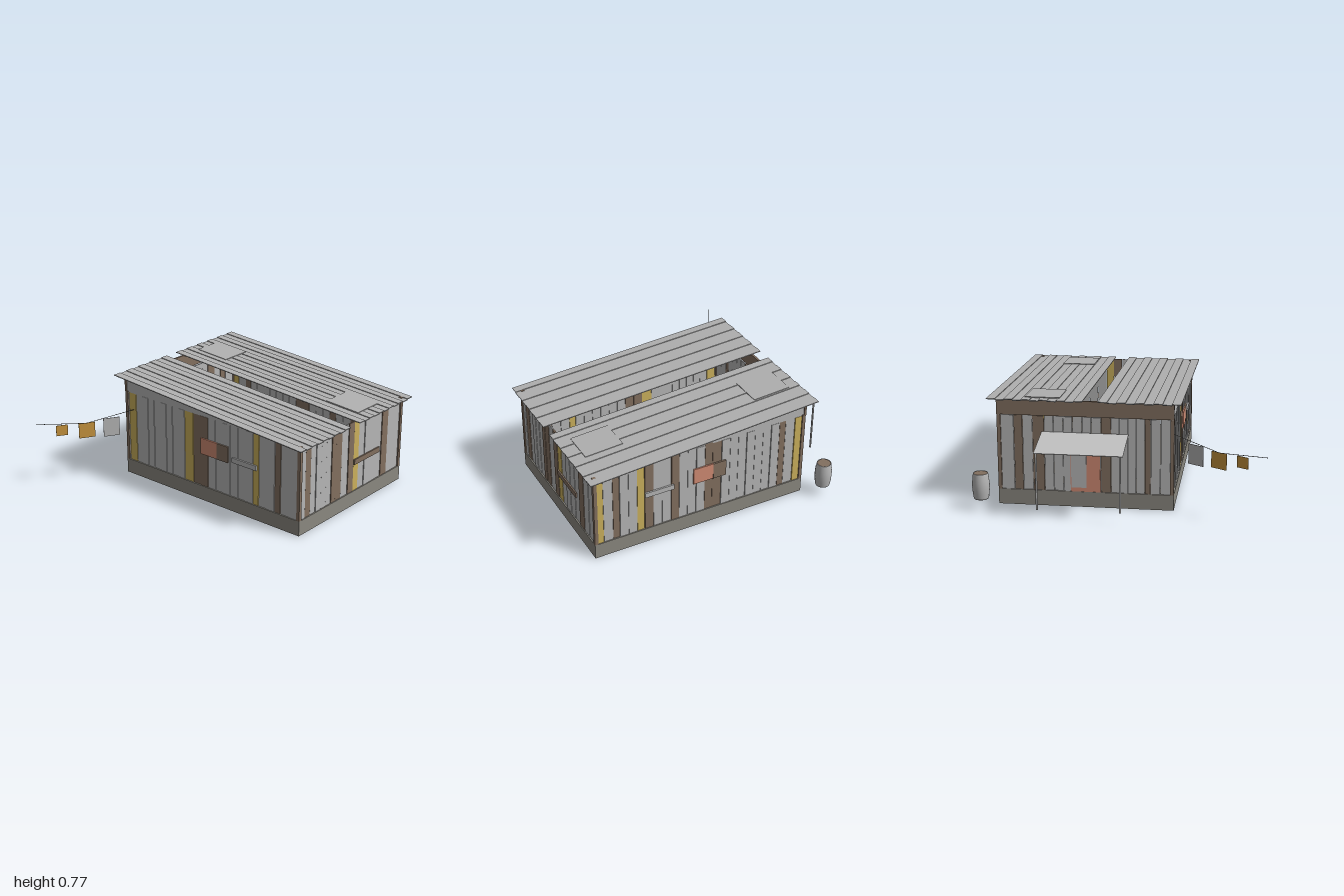
import * as THREE from 'three';

const mat = (name, color) => {
  const m = new THREE.MeshStandardMaterial({ color });
  m.name = name;
  return m;
};

export function createModel() {
  const root = new THREE.Group();
  root.name = 'shack';
  const M = {
    grey: mat('metal grey', 0xb6b6b6),
    roof: mat('roof grey', 0xb0b0b0),
    pale: mat('pale awning', 0xc0c0c0),
    brown: mat('timber brown', 0x826f5f),
    yellow: mat('faded yellow', 0xcbb05c),
    stone: mat('concrete', 0x8b8880),
    salmon: mat('salmon', 0xd08b73),
    amber: mat('amber cloth', 0xca963f),
    cord: mat('dark cord', 0x4a4a48),
  };
  M.cord.side = THREE.DoubleSide;

  const add = (parent, name, geo, material, x = 0, y = 0, z = 0) => {
    const m = new THREE.Mesh(geo, material);
    m.name = name;
    m.position.set(x, y, z);
    parent.add(m);
    return m;
  };
  // box given by its limits
  const box = (parent, name, material, x0, x1, y0, y1, z0, z1) =>
    add(parent, name, new THREE.BoxGeometry(x1 - x0, y1 - y0, z1 - z0), material,
      (x0 + x1) / 2, (y0 + y1) / 2, (z0 + z1) / 2);

  // footprint
  const X0 = -0.37, X1 = 0.845, Z0 = -0.68, Z1 = 0.94, FLOOR = 0.11, EAVE = 0.643;
  const roofY = z => 0.643 + (0.98 - z) * 0.0722;

  box(root, 'foundation', M.stone, X0, X1, 0, FLOOR, Z0, Z1);

  // wall of upright planks along local x, outer face at local z = 0;
  // coloured planks are listed, grey sheets fill the spaces
  function wall(name, from, to, coloured) {
    const g = new THREE.Group();
    g.name = name;
    let i = 0;
    const plank = (a, b, material, top = EAVE) => {
      const back = 0.006 + (i++ % 3) * 0.002;
      box(g, 'plank', material, a + 0.0015, b - 0.0015, FLOOR, top, -0.018, -back);
    };
    const fill = (a, b) => {
      if (b - a < 0.004) return;
      const n = Math.max(1, Math.round((b - a) / 0.064));
      for (let k = 0; k < n; k++) plank(a + (b - a) * k / n, a + (b - a) * (k + 1) / n, M.grey);
    };
    let at = from;
    for (const [a, b, c, top] of coloured) {
      fill(at, a);
      plank(a, b, M[c], top);
      at = b;
    }
    fill(at, to);
    root.add(g);
    return g;
  }

  // front wall
  const front = wall('frontWall', X0 + 0.025, X1 - 0.025, [
    [-0.30, -0.24, 'brown'], [-0.005, 0.045, 'brown'], [0.045, 0.112, 'brown'],
    [0.19, 0.255, 'brown'], [0.255, 0.315, 'yellow'], [0.595, 0.67, 'brown']]);
  front.position.z = Z1;
  box(front, 'frontRail', M.brown, 0.255, 0.56, 0.315, 0.355, -0.006, 0.004);

  // right wall on +x, local x = -z
  const right = wall('leftWall', -Z1 + 0.025, -Z0 - 0.025, [
    [-0.915, -0.87, 'yellow'], [-0.80, -0.75, 'brown'], [-0.62, -0.565, 'yellow'],
    [-0.565, -0.50, 'brown'], [-0.365, -0.305, 'brown'], [-0.11, -0.05, 'brown', 0.653],
    [-0.05, 0.02, 'brown', 0.653], [0.475, 0.525, 'brown'], [0.60, 0.655, 'yellow']]);
  right.rotation.y = Math.PI / 2;
  right.position.x = X1;
  box(right, 'hatchShutter', M.salmon, -0.20, -0.05, 0.36, 0.48, -0.006, 0.004);
  box(right, 'hatchPanel', M.brown, -0.05, 0.05, 0.36, 0.48, -0.006, 0.006);
  box(right, 'sideRail', M.grey, -0.565, -0.35, 0.375, 0.412, -0.006, 0.006);

  // opposite wall on -x, local x = z
  const left = wall('rightWall', Z0 + 0.025, Z1 - 0.025, [
    [-0.65, -0.58, 'yellow'], [-0.10, -0.02, 'yellow'], [-0.02, 0.05, 'brown'],
    [0.05, 0.12, 'brown'], [0.53, 0.58, 'yellow'], [0.72, 0.77, 'brown']]);
  left.rotation.y = -Math.PI / 2;
  left.position.x = X0;
  box(left, 'hatchShutter', M.salmon, 0.06, 0.21, 0.36, 0.48, -0.006, 0.004);
  box(left, 'hatchPanel', M.brown, 0.21, 0.31, 0.36, 0.48, -0.006, 0.006);
  box(left, 'sideRail', M.grey, 0.35, 0.565, 0.375, 0.412, -0.006, 0.006);

  // back wall, local x = -x
  const back = wall('backWall', -X1 + 0.025, -X0 - 0.025, [
    [-0.73, -0.67, 'brown'], [-0.60, -0.52, 'brown'], [-0.13, -0.06, 'brown'], [0.17, 0.21, 'brown']]);
  back.rotation.y = Math.PI;
  back.position.z = Z0;
  box(back, 'door', M.salmon, -0.34, -0.135, FLOOR, 0.5, -0.008, -0.002);
  box(back, 'doorSheet', M.grey, -0.335, -0.23, FLOOR + 0.03, 0.5, -0.004, 0.002);
  box(back, 'backRail', M.brown, -0.50, -0.27, 0.48, 0.52, -0.006, 0.004);
  box(root, 'backBeam', M.brown, X0, X1, 0.648, 0.758, Z0 - 0.004, Z0 + 0.012);

  // corner posts
  for (const x of [X0, X1 - 0.025])
    for (const z of [Z0, Z1 - 0.025])
      box(root, 'cornerPost', M.brown, x, x + 0.025, FLOOR, 0.652, z, z + 0.025);

  // sloping gables above the side walls
  const tri = new THREE.Shape([
    new THREE.Vector2(0.90, EAVE), new THREE.Vector2(Z0, EAVE), new THREE.Vector2(Z0, 0.757)]);
  for (const x of [X0 + 0.018, X1 - 0.008]) {
    const g = new THREE.ExtrudeGeometry(tri, { depth: 0.01, bevelEnabled: false });
    g.rotateY(-Math.PI / 2); // shape x becomes z
    add(root, 'gable', g, M.grey, x);
  }

  // ribbed sheet roof in two halves
  const tilt = Math.atan(0.0722);
  const sheet = (parent, name, x0, x1, z0, z1, lift, thick) => {
    const zc = (z0 + z1) / 2;
    const m = add(parent, name, new THREE.BoxGeometry(x1 - x0, thick, (z1 - z0) / Math.cos(tilt)),
      M.roof, (x0 + x1) / 2, roofY(zc) + lift, zc);
    m.rotation.x = tilt;
    return m;
  };
  for (const [x0, x1, n] of [[-0.42, 0.14, 9], [0.245, 0.90, 11]]) {
    const half = new THREE.Group();
    half.name = 'roofHalf';
    const w = (x1 - x0) / n;
    for (let i = 0; i < n; i++)
      sheet(half, 'roofRib', x0 + i * w, x0 + (i + 1) * w, -0.74, 0.98, i % 2 ? -0.002 : 0.003, 0.006);
    root.add(half);
  }
  sheet(root, 'roofPatch', 0.365, 0.605, 0.605, 0.88, 0.007, 0.006);
  sheet(root, 'roofPatch', 0.41, 0.65, -0.66, -0.38, 0.007, 0.006);

  // awning over the back door, on two poles
  const drop = 0.055, reach = 0.305;
  const awning = add(root, 'awning', new THREE.BoxGeometry(0.595, 0.004, Math.hypot(drop, reach)),
    M.pale, 0.2375, 0.505, -0.8325);
  awning.rotation.x = -Math.atan(drop / reach);
  for (const x of [-0.04, 0.52])
    add(root, 'awningPole', new THREE.CylinderGeometry(0.007, 0.007, 0.4, 8), M.grey, x, 0.28, -0.974);

  // ribbed barrel
  const profile = [[0, 0.08], [0.05, 0.08]];
  for (let i = 0; i <= 16; i++) {
    const t = i / 16;
    profile.push([0.051 + 0.008 * Math.sin(Math.PI * t) + (i % 2 ? 0.0015 : 0), 0.083 + 0.174 * t]);
  }
  profile.push([0.051, 0.262], [0.047, 0.262], [0.047, 0.255]);
  add(root, 'barrel', new THREE.LatheGeometry(profile.map(p => new THREE.Vector2(...p)), 24), M.grey, 0.94, 0, -0.8);
  add(root, 'barrelLid', new THREE.CylinderGeometry(0.048, 0.048, 0.006, 24), M.brown, 0.94, 0.257, -0.8);

  // bunting cord with three cloth flags hanging in its plane
  const lineZ = x => -0.96 + (x + 1) * 0.569;
  const lineY = x => x < -0.68 ? 0.462 + (-0.68 - x) * 0.125 : 0.462 + (x + 0.68) * 0.187;
  const knots = [-1, -0.68, -0.365].map(x => new THREE.Vector3(x, lineY(x), lineZ(x)));
  for (let i = 0; i < 2; i++)
    add(root, 'buntingCord', new THREE.TubeGeometry(new THREE.LineCurve3(knots[i], knots[i + 1]), 1, 0.002, 5), M.cord);
  const yaw = -Math.atan(0.569);
  for (const [x0, x1, y0, y1, c] of [
    [-0.875, -0.80, 0.392, 0.472, 'amber'], [-0.73, -0.625, 0.35, 0.465, 'amber'], [-0.57, -0.465, 0.338, 0.48, 'grey']]) {
    const xc = (x0 + x1) / 2;
    const flag = add(root, 'buntingFlag', new THREE.BoxGeometry((x1 - x0) / Math.cos(yaw), y1 - y0, 0.003),
      M[c], xc, (y0 + y1) / 2, lineZ(xc));
    flag.rotation.y = yaw;
  }
  return root;
}
